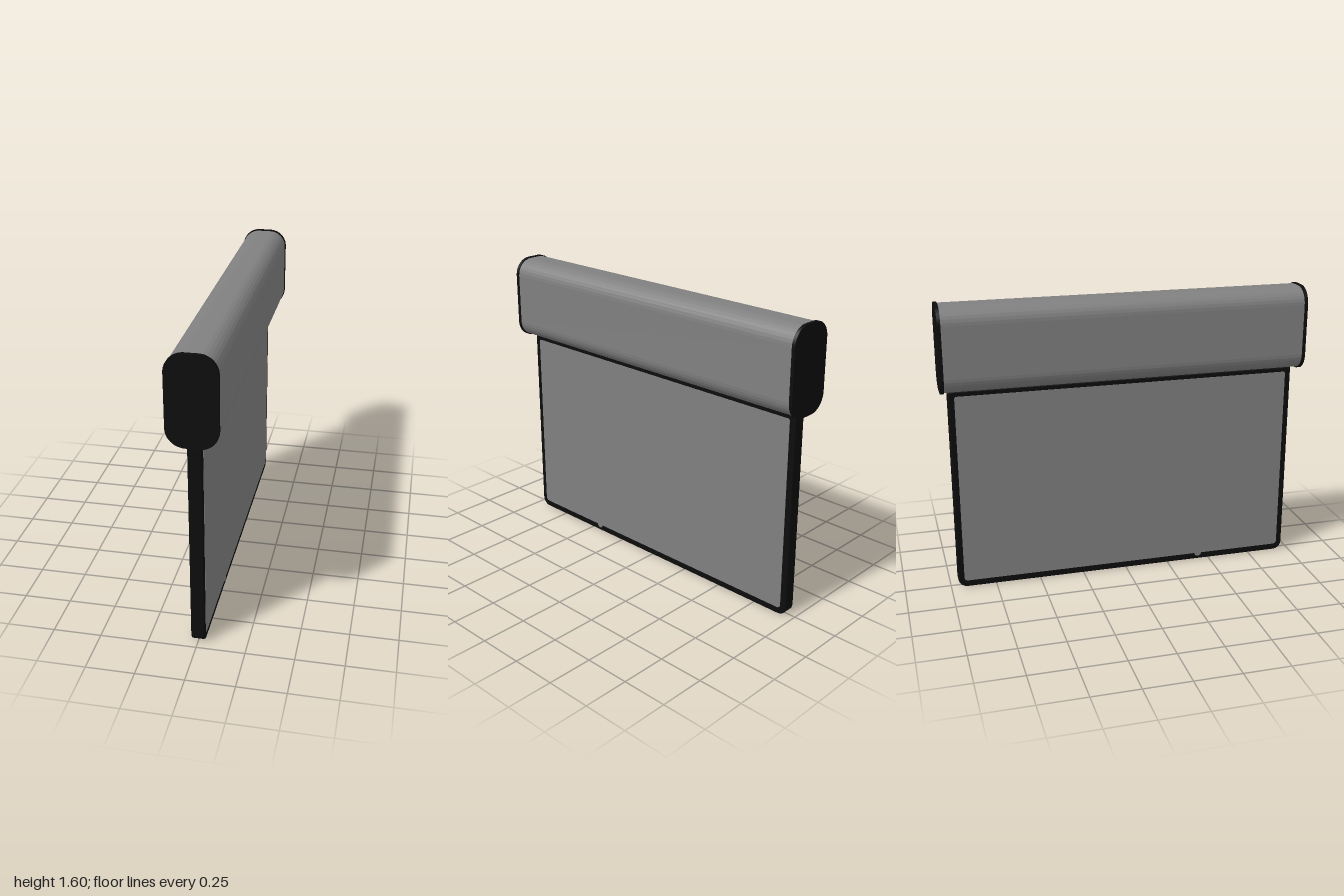
import * as THREE from 'three';

// Rounded rectangle outline with separate bottom and top corner radii
function roundedRect(x0, y0, x1, y1, rBottom, rTop) {
  const s = new THREE.Shape();
  s.moveTo(x0 + rBottom, y0);
  s.lineTo(x1 - rBottom, y0);
  s.absarc(x1 - rBottom, y0 + rBottom, rBottom, -Math.PI / 2, 0, false);
  s.lineTo(x1, y1 - rTop);
  s.absarc(x1 - rTop, y1 - rTop, rTop, 0, Math.PI / 2, false);
  s.lineTo(x0 + rTop, y1);
  s.absarc(x0 + rTop, y1 - rTop, rTop, Math.PI / 2, Math.PI, false);
  s.lineTo(x0, y0 + rBottom);
  s.absarc(x0 + rBottom, y0 + rBottom, rBottom, Math.PI, Math.PI * 1.5, false);
  return s;
}

// Extrusion centred on its depth
function slab(shape, depth, curveSegments, bevel = 0) {
  const geometry = new THREE.ExtrudeGeometry(shape, {
    depth: depth - 2 * bevel, curveSegments,
    bevelEnabled: bevel > 0, bevelSize: bevel, bevelThickness: bevel,
    bevelOffset: -bevel, bevelSegments: 2,
  });
  return geometry.translate(0, 0, -depth / 2 + bevel);
}

export function createModel() {
  const grey = new THREE.MeshStandardMaterial({ color: 0x808080 });
  grey.name = 'grey';
  const black = new THREE.MeshStandardMaterial({ color: 0x0d0d0d });
  black.name = 'black';

  const model = new THREE.Group();
  model.name = 'hangingSign';
  const add = (name, geometry, material) => {
    const mesh = new THREE.Mesh(geometry, material);
    mesh.name = name;
    model.add(mesh);
    return mesh;
  };

  // Long housing along z with rounded edges
  add('housing', slab(roundedRect(-0.124, 1.134, 0.124, 1.59, 0.09, 0.09), 1.97, 4), grey);

  // Slightly larger end caps
  for (const side of [1, -1]) {
    const cap = add(side > 0 ? 'frontCap' : 'backCap',
      slab(roundedRect(-0.128, 1.128, 0.128, 1.595, 0.095, 0.095), 0.018, 8), black);
    cap.position.z = side * 0.991;
  }

  // Thin upright panel below the housing
  const panel = slab(roundedRect(-0.96, 0, 0.96, 1.134, 0.05, 0.012), 0.07, 6, 0.008);
  add('panelFrame', panel.rotateY(-Math.PI / 2), black);

  // Grey inlay on both faces, with a small tab on the lower edge
  for (const side of [1, -1]) {
    const name = side > 0 ? 'left' : 'right';
    const inlay = slab(roundedRect(-0.927, 0.038, 0.927, 1.105, 0.02, 0.012), 0.004, 4);
    add(name + 'Inlay', inlay.rotateY(-Math.PI / 2), grey).position.x = side * 0.0345;
    const tab = new THREE.CylinderGeometry(0.021, 0.021, 0.004, 12).rotateZ(Math.PI / 2);
    add(name + 'Tab', tab, grey).position.set(side * 0.0342, 0.039, 0.435);
  }

  return model;
}
